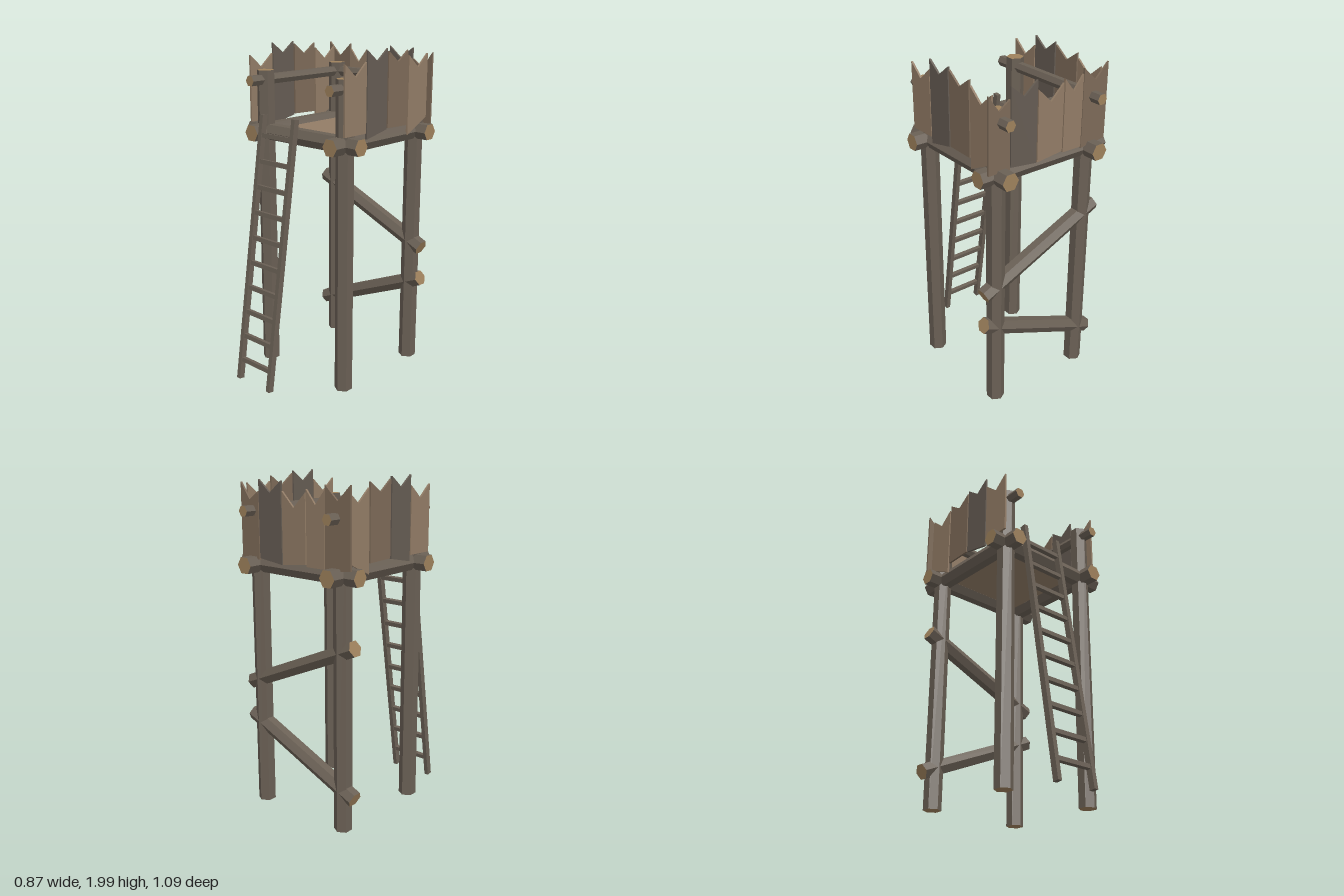
import * as THREE from 'three';

const mat = (color) => new THREE.MeshStandardMaterial({ color, flatShading: true });
const BARK = mat(0x6a6055), CUT = mat(0x9e815c), TAN = mat(0x927c66);
const BROWN = mat(0x7d6a58), DARK = mat(0x655c53);

const POST_X = 0.313, BACK_Z = -0.42, FRONT_Z = 0.2, BEAM_Y = 1.49, RAIL_Y = 1.795;

// Six-sided log between two points, corners facing sideways, with pale cut ends
function log(name, a, b, radius) {
  const from = new THREE.Vector3(...a), to = new THREE.Vector3(...b);
  const dir = to.clone().sub(from);
  const geo = new THREE.CylinderGeometry(radius, radius, dir.length(), 6);
  if (Math.abs(dir.z) > 0.1) geo.rotateY(Math.PI / 2);
  const mesh = new THREE.Mesh(geo, [BARK, CUT, CUT]);
  mesh.name = name;
  mesh.quaternion.setFromUnitVectors(new THREE.Vector3(0, 1, 0), dir.normalize());
  mesh.position.copy(from).add(to).multiplyScalar(0.5);
  return mesh;
}

function box(name, size, pos, material) {
  const mesh = new THREE.Mesh(new THREE.BoxGeometry(...size), material);
  mesh.name = name;
  mesh.position.set(...pos);
  return mesh;
}

// Row of upright planks with a notch cut in the top:
// [left, right, bottomLeft, bottomRight, topLeft, notch, topRight, material]
function plankWall(name, planks) {
  const wall = new THREE.Group();
  wall.name = name;
  for (const [l, r, bl, br, tl, notch, tr, material] of planks) {
    const shape = new THREE.Shape([
      [l, bl], [r, br], [r, tr], [(l + r) / 2, notch], [l, tl],
    ].map(([x, y]) => new THREE.Vector2(x, y)));
    const geo = new THREE.ExtrudeGeometry(shape, { depth: 0.012, bevelEnabled: false });
    geo.translate(0, 0, -0.006);
    const plank = new THREE.Mesh(geo, material);
    plank.name = 'plank';
    wall.add(plank);
  }
  return wall;
}

export function createModel() {
  const tower = new THREE.Group();
  tower.name = 'watchtower';

  // Corner posts
  for (const x of [-POST_X, POST_X])
    for (const z of [BACK_Z, FRONT_Z])
      tower.add(log('post', [x, 0.01, z], [x, 1.85, z], 0.053));

  // Platform beams and deck
  for (const z of [BACK_Z, FRONT_Z])
    tower.add(log('crossBeam', [-0.434, BEAM_Y, z], [0.432, BEAM_Y, z], 0.052));
  for (const x of [-POST_X, POST_X]) {
    tower.add(log('sideBeam', [x, BEAM_Y, -0.547], [x, BEAM_Y, 0.323], 0.053));
    tower.add(log('sideRail', [x, RAIL_Y, -0.543], [x, RAIL_Y, 0.325], 0.033));
  }
  tower.add(box('deck', [0.62, 0.012, 0.62], [0, 1.497, -0.11], TAN));

  // Back rail and diagonal braces
  tower.add(log('backRail', [-POST_X, RAIL_Y, BACK_Z], [POST_X, RAIL_Y, BACK_Z], 0.033));
  tower.add(log('upperBrace', [-0.4, 1.105, BACK_Z], [0.398, 0.76, BACK_Z], 0.049));
  tower.add(log('lowerBrace', [-0.4, 0.22, BACK_Z], [0.398, 0.56, BACK_Z], 0.049));

  // Plank walls
  const sidePlanks = [
    [-0.265, -0.09, 1.545, 1.545, 1.935, 1.86, 1.935, TAN],
    [-0.083, 0.088, 1.51, 1.545, 1.995, 1.93, 1.995, DARK],
    [0.098, 0.272, 1.55, 1.545, 1.98, 1.915, 1.975, BROWN],
    [0.282, 0.458, 1.485, 1.57, 1.945, 1.87, 1.945, TAN],
  ];
  for (const [name, x] of [['leftWall', 0.365], ['rightWall', -0.375]]) {
    const wall = plankWall(name, sidePlanks);
    wall.rotation.y = Math.PI / 2;
    wall.position.x = x;
    tower.add(wall);
  }
  const backWall = plankWall('backWall', [
    [-0.412, -0.238, 1.53, 1.51, 1.97, 1.885, 1.965, BROWN],
    [-0.234, -0.104, 1.52, 1.52, 1.935, 1.855, 1.935, TAN],
    [-0.097, 0.076, 1.53, 1.51, 1.915, 1.83, 1.915, TAN],
    [0.083, 0.256, 1.51, 1.53, 1.97, 1.9, 1.97, DARK],
    [0.262, 0.4, 1.52, 1.52, 1.905, 1.855, 1.95, BROWN],
  ]);
  backWall.position.z = -0.468;
  tower.add(backWall);

  // Leaning ladder, built upright and tilted about its foot
  const ladder = new THREE.Group();
  ladder.name = 'ladder';
  for (const x of [-0.13, 0.13])
    ladder.add(box('ladderRail', [0.027, 1.62, 0.036], [x, 0.81, 0], BARK));
  for (let i = 0; i < 10; i++)
    ladder.add(box('rung', [0.25, 0.026, 0.026], [0, 0.124 + i * 0.153, 0], BARK));
  ladder.position.set(-0.114, 0.003, 0.527);
  ladder.rotation.x = -0.15;
  tower.add(ladder);

  return tower;
}
